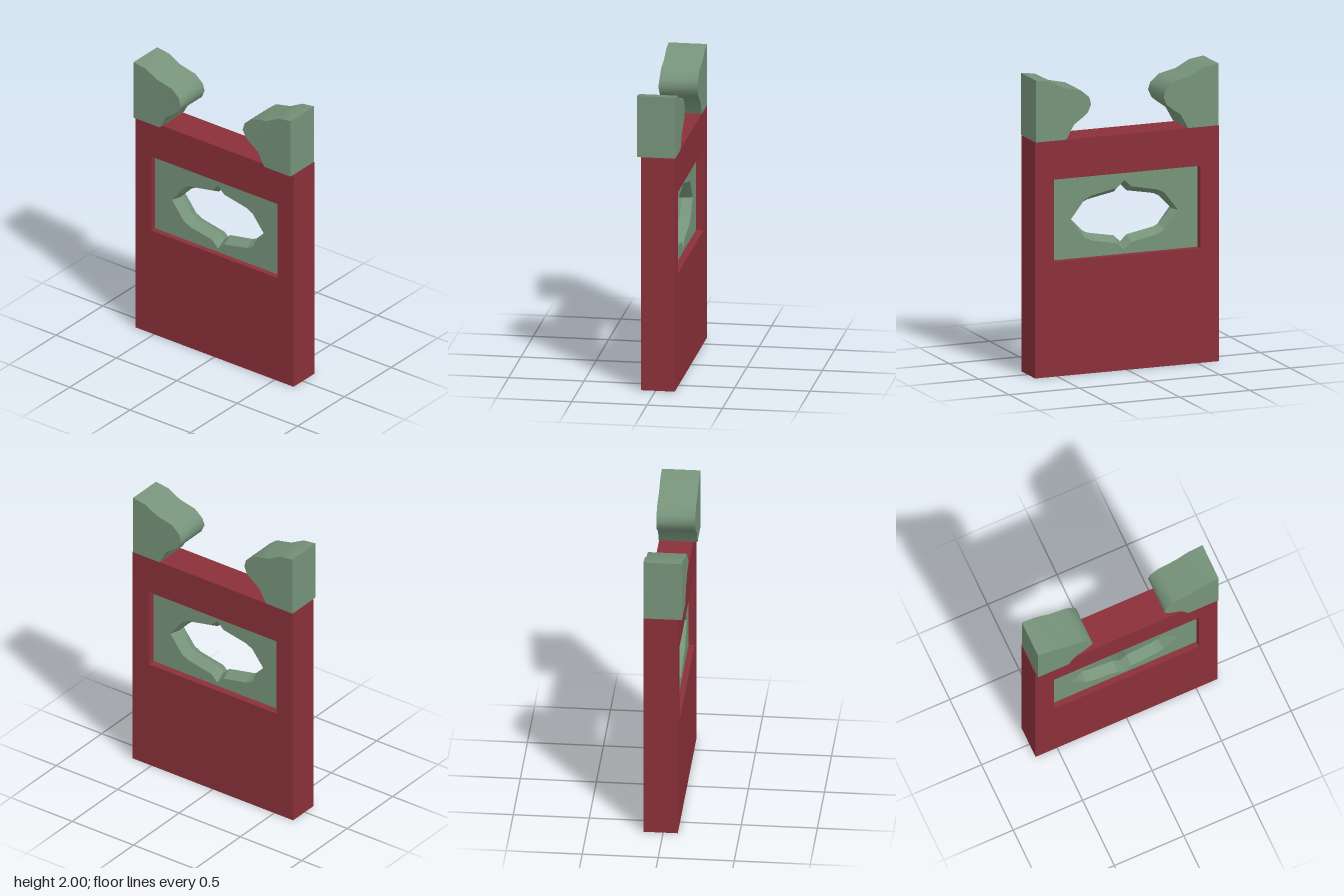
import * as THREE from 'three';
import { toCreasedNormals } from 'three/addons/utils/BufferGeometryUtils.js';

const red = new THREE.MeshStandardMaterial({ color: 0x8a3039 });
red.name = 'dark red';
const green = new THREE.MeshStandardMaterial({ color: 0x76937a });
green.name = 'sage green';

const V = (x, y) => new THREE.Vector2(x, y);
const rect = (w, y0, y1) => [V(-w, y0), V(w, y0), V(w, y1), V(-w, y1)];

// Extrude a side profile from x0 to x1
function slab(shape, x0, x1) {
  const g = new THREE.ExtrudeGeometry(shape, { depth: x1 - x0, bevelEnabled: false });
  return g.translate(0, 0, x0).rotateY(Math.PI / 2);
}

// Full counterclockwise outline from one quarter, running from side tip to top
function outline(quarter, cy) {
  const half = [...quarter, ...quarter.slice(1, -1).reverse().map(([u, v]) => [-u, v])];
  return [...half, ...half.map(([u, v]) => [-u, -v])].map(([u, v]) => V(u, v + cy));
}

export function createModel() {
  const group = new THREE.Group();
  const add = (name, geometry, material) => {
    const mesh = new THREE.Mesh(geometry, material);
    mesh.name = name;
    group.add(mesh);
  };

  // Wall with a rectangular opening
  const wallShape = new THREE.Shape(rect(0.655, 0, 1.585));
  wallShape.holes.push(new THREE.Path(rect(0.521, 0.77, 1.324)));
  add('wall', slab(wallShape, -0.097, 0.128), red);

  // Recessed panel faces, pierced by the pointed window
  const panelBack = -0.058, panelFront = 0.078, cy = 1.03;
  const outer = outline([[0.383, 0], [0.285, 0.125], [0.235, 0.15], [0.05, 0.187], [0, 0.235]], cy);
  const inner = outline([[0.362, 0], [0.27, 0.095], [0.235, 0.112], [0.047, 0.147], [0, 0.193]], cy);
  const panelShape = new THREE.Shape(rect(0.521, 0.77, 1.324));
  panelShape.holes.push(new THREE.Path(outer));
  const face = () => new THREE.ShapeGeometry(panelShape);
  add('panelRightFace', face().translate(0, 0, panelFront).rotateY(Math.PI / 2), green);
  add('panelLeftFace', face().translate(0, 0, -panelBack).rotateY(-Math.PI / 2), green);

  // Window reveal, narrowing to the middle of the panel
  const rings = [[outer, panelBack], [inner, (panelBack + panelFront) / 2], [outer, panelFront]];
  const pos = [];
  for (let k = 0; k < 2; k++) {
    for (let i = 0; i < outer.length; i++) {
      const corner = (ring, j) => {
        const [pts, w] = rings[ring], p = pts[j % pts.length];
        return [p.x, p.y, w];
      };
      const a = corner(k, i), b = corner(k, i + 1), c = corner(k + 1, i + 1), d = corner(k + 1, i);
      pos.push(...a, ...d, ...c, ...a, ...c, ...b);
    }
  }
  const reveal = new THREE.BufferGeometry();
  reveal.setAttribute('position', new THREE.Float32BufferAttribute(pos, 3));
  reveal.computeVertexNormals();
  add('windowReveal', reveal.rotateY(Math.PI / 2), green);

  // Two curved merlons, mirrored front to back
  const profile = [[0.65, 1.585], [0.65, 2], [0.55, 1.986], [0.455, 1.935], [0.333, 1.908], [0.272, 1.857],
    [0.258, 1.807], [0.28, 1.755], [0.323, 1.72], [0.38, 1.68], [0.433, 1.585]];
  for (const s of [1, -1]) {
    const g = slab(new THREE.Shape(profile.map(([z, y]) => V(-s * z, y))), -0.125, 0.13);
    // The nose leans out slightly on one side
    const p = g.attributes.position;
    for (let i = 0; i < p.count; i++) {
      if (p.getX(i) < 0 && Math.abs(p.getZ(i)) < 0.265) p.setX(i, -0.13);
    }
    add(s > 0 ? 'frontMerlon' : 'backMerlon', toCreasedNormals(g, 0.75), green);
  }
  return group;
}
